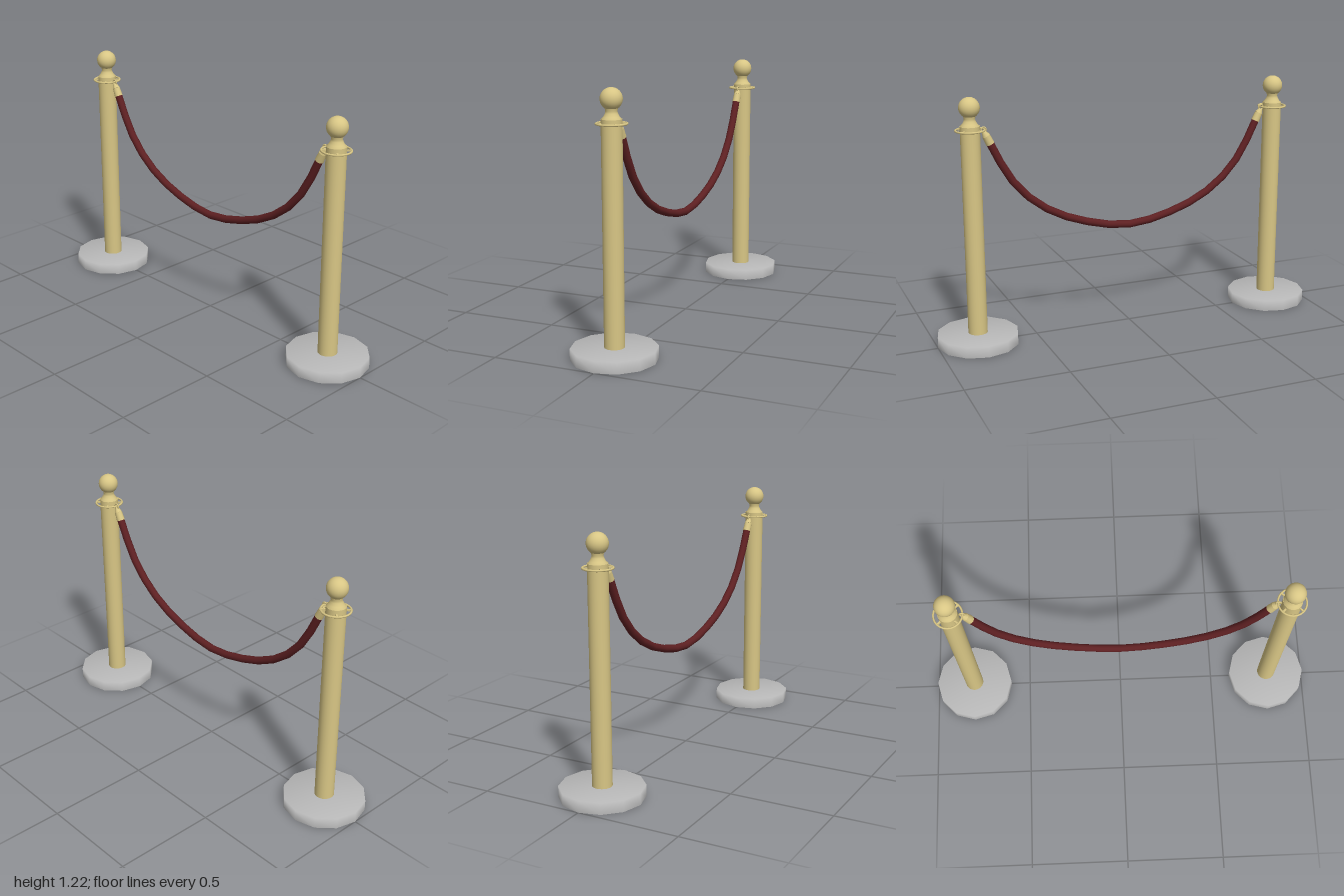
import * as THREE from 'three';

const mat = (name, color) => new THREE.MeshStandardMaterial({ name, color });
const v2 = (pts) => pts.map(([x, y]) => new THREE.Vector2(x, y));
const v3 = (pts) => pts.map(([x, y]) => new THREE.Vector3(x, y, 0));

export function createModel() {
  const brass = mat('brass', 0xd8c685);
  const steel = mat('steel', 0xb8b8b8);
  const velvet = mat('velvet', 0x5e2022);
  const model = new THREE.Group();
  model.name = 'ropeBarrier';

  const add = (parent, name, geometry, material, x = 0, y = 0) => {
    const mesh = new THREE.Mesh(geometry, material);
    mesh.name = name;
    mesh.position.set(x, y, 0);
    parent.add(mesh);
    return mesh;
  };

  // rod between two points in the front plane
  const rod = (parent, name, a, b, ra, rb) => {
    const [p, q] = v3([a, b]);
    const mid = p.clone().add(q).multiplyScalar(0.5);
    const mesh = add(parent, name, new THREE.CylinderGeometry(rb, ra, p.distanceTo(q), 12), brass, mid.x, mid.y);
    mesh.quaternion.setFromUnitVectors(new THREE.Vector3(0, 1, 0), q.sub(p).normalize());
  };

  for (const side of [-1, 1]) {
    const post = new THREE.Group();
    post.name = side < 0 ? 'rightPost' : 'leftPost';
    post.position.x = side * 0.8;
    model.add(post);

    // twelve-sided foot with softly shaded rim and brass underside
    add(post, 'base', new THREE.LatheGeometry(v2([[0.2, 0], [0.2, 0.055], [0, 0.055]]), 12), steel);
    add(post, 'baseUnderside', new THREE.CircleGeometry(0.2, 12), brass).rotation.x = Math.PI / 2;

    // pole, neck and ball finial
    add(post, 'pole', new THREE.CylinderGeometry(0.047, 0.047, 1.025, 24), brass, 0, 0.5675);
    add(post, 'neck', new THREE.LatheGeometry(v2([
      [0.047, 1.07], [0.046, 1.08], [0.036, 1.09], [0.028, 1.105], [0.026, 1.115], [0.03, 1.13],
    ]), 24), brass);
    add(post, 'finial', new THREE.SphereGeometry(0.05, 24, 16), brass, 0, 1.167);

    // hanging ring carried on four short arms
    add(post, 'ring', new THREE.TorusGeometry(0.068, 0.005, 8, 24), brass, 0, 1.06).rotation.x = Math.PI / 2;
    for (let i = 0; i < 4; i++) {
      const a = Math.PI / 4 + (i * Math.PI) / 2;
      const arm = add(post, 'ringArm', new THREE.BoxGeometry(0.028, 0.008, 0.008), brass);
      arm.position.set(Math.cos(a) * 0.056, 1.06, Math.sin(a) * 0.056);
      arm.rotation.y = -a;
    }

    // clip and ferrule at the rope end
    add(model, 'clip', new THREE.TorusGeometry(0.012, 0.004, 8, 16), brass, side * 0.735, 1.058);
    rod(model, 'ferruleTip', [side * 0.735, 1.048], [side * 0.724, 1.028], 0.01, 0.019);
    rod(model, 'ferrule', [side * 0.724, 1.028], [side * 0.705, 0.988], 0.019, 0.021);
  }

  // sagging rope
  const half = [[0.708, 0.995], [0.635, 0.85], [0.555, 0.74], [0.405, 0.625], [0.205, 0.547]];
  const path = new THREE.CatmullRomCurve3(v3([
    ...half.map(([x, y]) => [-x, y]), [0, 0.513], ...half.reverse(),
  ]));
  add(model, 'rope', new THREE.TubeGeometry(path, 16, 0.019, 10, false), velvet);

  return model;
}
